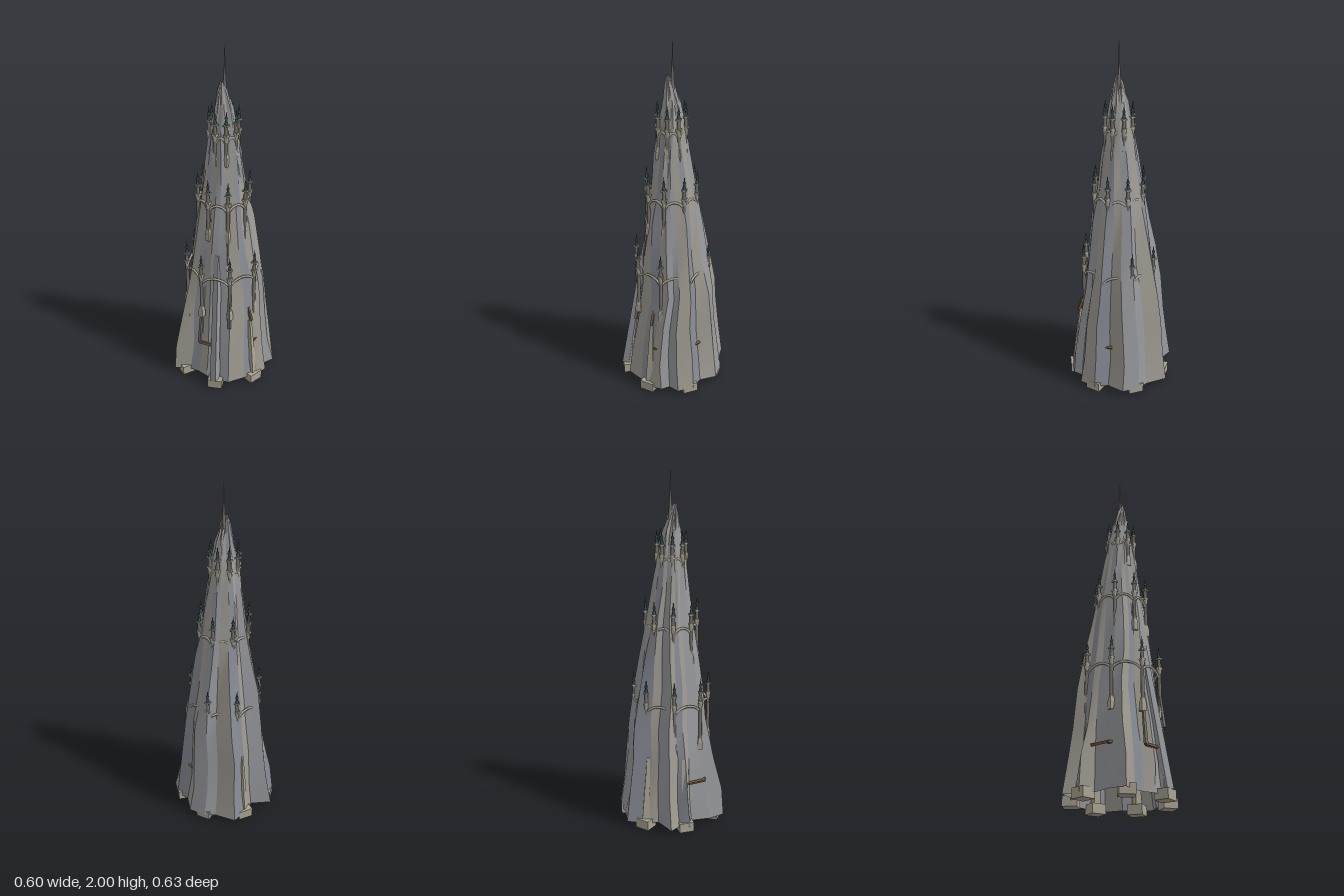
import * as THREE from 'three';

const CX = -0.005, CZ = 0.013; // tower axis
const mat = (color) => new THREE.MeshStandardMaterial({ color, side: THREE.DoubleSide });
const rockMats = [0x96989c, 0x888c95, 0xa09c93].map(mat);
const stoneMat = mat(0xaaa492), shaftMat = mat(0x77736a), woodMat = mat(0x765636), slateMat = mat(0x3b5052);
const v = (x, y, z) => new THREE.Vector3(x, y, z);

function add(parent, name, geo, material, x = 0, y = 0, z = 0) {
  const m = new THREE.Mesh(geo, material);
  m.name = name;
  m.position.set(x, y, z);
  parent.add(m);
  return m;
}

// Tapered four-sided column with sharp edges
function squareTaper(top, bottom, height) {
  const geo = new THREE.CylinderGeometry(top, bottom, height, 4).rotateY(Math.PI / 4).toNonIndexed();
  geo.computeVertexNormals();
  return geo;
}

// Four-sided bar between two points
function bar(parent, name, a, b, r0, r1, material) {
  const m = add(parent, name, squareTaper(r1, r0, a.distanceTo(b)), material);
  m.position.copy(a).lerp(b, 0.5);
  m.quaternion.setFromUnitVectors(v(0, 1, 0), b.clone().sub(a).normalize());
}

// Craggy hollow rock in upright strips: a foot outline that calms down towards the peak
function rock() {
  const g = new THREE.Group();
  g.name = 'rock';
  const foot = [[0.02, -0.315], [0.085, -0.21], [0.15, -0.215], [0.265, -0.185], [0.272, -0.06], [0.3, 0], [0.297, 0.1],
    [0.215, 0.16], [0.195, 0.24], [0.12, 0.3], [0.06, 0.275], [0.02, 0.31], [-0.05, 0.3], [-0.12, 0.255], [-0.215, 0.2],
    [-0.235, 0.12], [-0.245, 0.06], [-0.24, 0], [-0.25, -0.06], [-0.3, -0.14], [-0.215, -0.185], [-0.105, -0.2],
    [-0.09, -0.28], [-0.03, -0.27]];
  // height, mean radius, strength of the foot outline, sideways shift
  const rows = [[0.03, 0.28, 1, 0], [0.2, 0.256, 0.9, 0], [0.4, 0.234, 0.8, 0.006], [0.6, 0.211, 0.65, 0.02],
    [0.8, 0.184, 0.55, 0.006], [1.0, 0.157, 0.5, 0.005], [1.2, 0.124, 0.4, 0.005], [1.36, 0.101, 0.4, 0],
    [1.52, 0.079, 0.3, 0], [1.66, 0.051, 0.4, -0.003], [1.75, 0.028, 0.4, -0.012], [1.82, 0.007, 0, -0.022]];
  const point = (i, j) => {
    i %= foot.length;
    const [fx, fz] = foot[i], [y, r, k, shift] = rows[j];
    const t = j / (rows.length - 1), wild = j > 0 && j < rows.length - 1 ? 1 : 0;
    const a = Math.atan2(fz, fx) + wild * 0.04 * Math.sin(j * 1.3 + i * 0.6);
    const ripple = 1 + k * (Math.hypot(fx, fz) / 0.28 - 1);
    const crag = 1 + wild * (0.05 * Math.sin(i * 2.4 + j * 0.4) + 0.025 * Math.sin(i * 4.1 - j * 1.3));
    const d = r * ripple * crag;
    return [CX * t + shift + Math.cos(a) * d, y + wild * 0.025 * Math.sin(i * 3.7 + j * 2.1), CZ * t + Math.sin(a) * d];
  };
  for (let i = 0; i < foot.length; i++) {
    const pos = [], idx = [];
    for (let j = 0; j < rows.length; j++) {
      pos.push(...point(i, j), ...point(i + 1, j));
      const p = 2 * j;
      if (j < rows.length - 1) idx.push(p, p + 2, p + 1, p + 1, p + 2, p + 3);
    }
    const geo = new THREE.BufferGeometry();
    geo.setAttribute('position', new THREE.Float32BufferAttribute(pos, 3));
    geo.setIndex(idx);
    geo.computeVertexNormals();
    add(g, 'rockStrip', geo, rockMats[(i * i + i) % 5 % 3]);
  }
  return g;
}

// Gothic pinnacle; y = 0 is where the arches spring
function pinnacle(drop) {
  const g = new THREE.Group();
  g.name = 'pinnacle';
  const box = (name, w, h, y) => add(g, name, new THREE.BoxGeometry(w, h, w), stoneMat, 0, y, 0);
  box('corbel', 0.028, 0.045, -drop + 0.0225);
  add(g, 'corbelCap', squareTaper(0.011, 0.019, 0.03), stoneMat, 0, -drop + 0.06, 0);
  add(g, 'shaft', new THREE.CylinderGeometry(0.01, 0.01, drop - 0.06, 8), shaftMat, 0, (0.06 - drop) / 2, 0);
  add(g, 'capital', new THREE.CylinderGeometry(0.014, 0.01, 0.03, 8), stoneMat, 0, 0.015, 0);
  box('abacus', 0.026, 0.012, 0.036);
  add(g, 'lantern', new THREE.CylinderGeometry(0.009, 0.011, 0.05, 8), shaftMat, 0, 0.066, 0);
  box('cornice', 0.027, 0.008, 0.092);
  const spire = [[0.0105, 0.096], [0.008, 0.11], [0.005, 0.125], [0.009, 0.132], [0.004, 0.142], [0, 0.175]];
  add(g, 'finial', new THREE.LatheGeometry(spire.map(([x, y]) => new THREE.Vector2(x, y)), 8), slateMat);
  return g;
}

// One tier: eight pinnacles tied together by arched ribs
function tier(name, r, y, drop, skip) {
  const g = new THREE.Group();
  g.name = name;
  const at = (i, h) => v(CX + r * Math.cos(i * Math.PI / 4), h, CZ + r * Math.sin(i * Math.PI / 4));
  for (let i = 0; i < 8; i++) {
    if (i !== skip) {
      const p = pinnacle(drop);
      p.position.copy(at(i, y));
      g.add(p);
    }
    const a = at(i, y), b = at(i + 1, y);
    const mid = a.clone().lerp(b, 0.5), q1 = a.clone().lerp(b, 0.2), q2 = a.clone().lerp(b, 0.8);
    a.y = b.y = y - 0.02;
    mid.y += 0.02;
    q1.y = q2.y = y + 0.008;
    add(g, 'archRib', new THREE.TubeGeometry(new THREE.CatmullRomCurve3([a, q1, mid, q2, b]), 12, 0.007, 6), stoneMat);
  }
  return g;
}

export function createModel() {
  const model = new THREE.Group();
  model.name = 'rockTower';
  model.add(rock());

  // Needle at the peak
  const needle = [[0.022, 1.62], [0.013, 1.74], [0.008, 1.82], [0.004, 1.9], [0.002, 1.99], [0, 2]];
  add(model, 'needle', new THREE.LatheGeometry(needle.map(([x, y]) => new THREE.Vector2(x, y)), 8), shaftMat, 0, 0, CZ);

  model.add(tier('lowerTier', 0.215, 0.7, 0.25, 1), tier('middleTier', 0.145, 1.135, 0.2), tier('upperTier', 0.08, 1.51, 0.14));

  // Seven footing blocks with leaning buttresses, spaced around the tower axis
  for (let i = 0; i < 7; i++) {
    const a = i * Math.PI * 2 / 7;
    const at = (r, y) => v(CX + r * Math.cos(a), y, CZ + r * Math.sin(a));
    const foot = add(model, 'footing', new THREE.BoxGeometry(0.08, 0.055, 0.085), stoneMat);
    foot.position.copy(at(0.26, 0.0275));
    foot.rotation.y = -a;
    bar(model, 'buttress', at(0.262, 0.05), at(0.23, 0.42), 0.028, 0.012, stoneMat);
  }
  // Long raking shore on the right-hand side
  bar(model, 'shore', v(-0.26, 0.05, 0.132), v(-0.14, 0.85, 0.07), 0.028, 0.022, rockMats[0]);

  // Weathered timbers wedged into the rock
  const beams = [
    [[-0.185, 0.27, -0.172], [-0.085, 0.27, -0.21]], [[-0.19, 0.27, -0.125], [-0.178, 0.27, -0.172]],
    [[-0.245, 0.27, 0.01], [-0.215, 0.27, 0.13]], [[-0.055, 0.42, 0.25], [-0.05, 0.5, 0.22]],
    [[0.13, 0.27, 0.225], [0.2, 0.28, 0.13]], [[-0.04, 0.27, 0.255], [0.01, 0.27, 0.262]],
    [[-0.125, 0.82, 0.1], [-0.09, 0.82, 0.145]], [[-0.135, 1.05, 0.012], [-0.1, 1.05, 0.012]],
  ];
  for (const [a, b] of beams) bar(model, 'timber', v(...a), v(...b), 0.01, 0.01, woodMat);

  // Slender props below the right-hand pinnacles
  for (const [a, b] of [[[-0.245, 0.27, 0.013], [-0.22, 0.5, 0.013]], [[-0.175, 0.4, 0.175], [-0.157, 0.6, 0.163]],
    [[-0.125, 0.8, 0.125], [-0.108, 1.0, 0.115]]]) {
    bar(model, 'prop', v(...a), v(...b), 0.012, 0.008, shaftMat);
  }
  return model;
}
